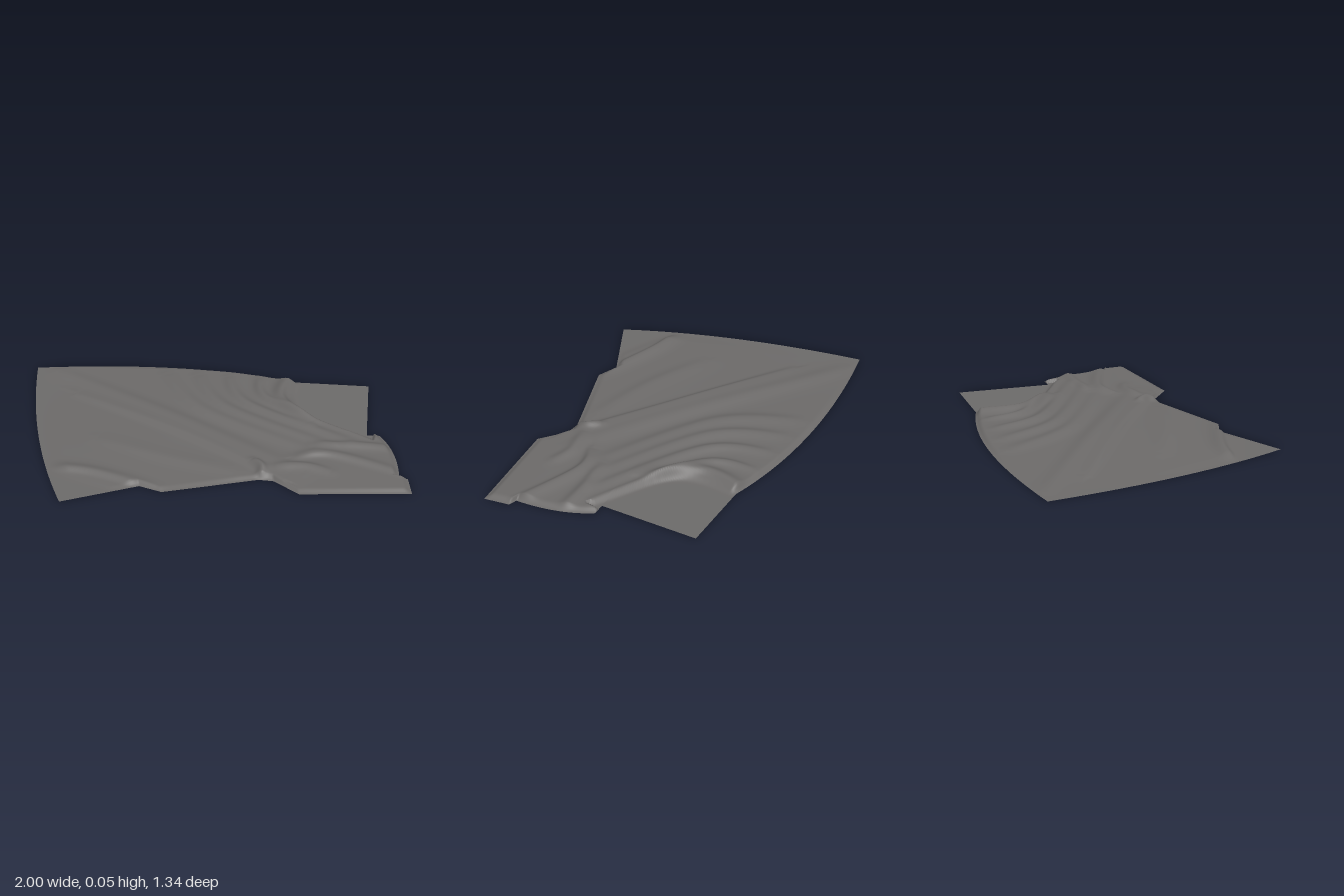
import * as THREE from 'three';

const NU = 210, NV = 150;
const { smoothstep, clamp, lerp } = THREE.MathUtils;

// Outline of the cloth as four edges, in x and z
const back = new THREE.Path().moveTo(-1, -0.45).quadraticCurveTo(-0.25, -0.7, 0.3, -0.62).lineTo(0.66, -0.67);
const rightSide = new THREE.Path().moveTo(-1, -0.45).quadraticCurveTo(-0.82, 0.2, -0.51, 0.67);
const leftSide = new THREE.Path().moveTo(0.66, -0.67).lineTo(0.725, -0.21).lineTo(0.785, -0.22)
  .quadraticCurveTo(0.89, -0.1, 0.925, 0.11).lineTo(0.965, 0.115).lineTo(1, 0.23);
const front = new THREE.Path().moveTo(-0.51, 0.67).lineTo(-0.2, 0.465).lineTo(-0.09, 0.487)
  .lineTo(0.31, 0.285).lineTo(0.38, 0.28).lineTo(0.51, 0.355).lineTo(1, 0.23);

// Crest line through a few points given as x, z pairs
function crest(...xz) {
  const points = [];
  for (let i = 0; i < xz.length; i += 2) points.push(new THREE.Vector2(xz[i], xz[i + 1]));
  return new THREE.SplineCurve(points).getPoints(24);
}

const fold = (height, behind, ahead, line) => ({ height, behind, ahead, line });

const folds = [
  // Long diagonal creases
  fold(0.018, 0.07, 0.022, crest(-0.72, -0.24, -0.1, 0.02, 0.42, 0.27)),
  fold(0.015, 0.05, 0.05, crest(-0.88, -0.44, -0.2, -0.13, 0.5, 0.2)),
  // Fold beside the flat back corner
  fold(0.026, 0.025, 0.04, crest(0.27, -0.66, 0.27, -0.42, 0.46, -0.23)),
  // Folds running to the left end
  fold(0.02, 0.04, 0.022, crest(0.44, 0.09, 0.6, 0.03, 0.97, 0.11)),
  fold(0.018, 0.03, 0.03, crest(0.5, -0.03, 0.7, -0.08, 0.87, -0.1)),
  // Lip beside the flat front corner
  fold(0.02, 0.045, 0.018, crest(-0.68, 0.43, -0.45, 0.42, -0.12, 0.48)),
  fold(0.009, 0.06, 0.04, crest(-0.5, 0.14, -0.15, 0.225, 0.2, 0.26)),
  // Pinched creases at the front notch
  fold(0.022, 0.022, 0.022, crest(0.26, 0.17, 0.31, 0.22, 0.32, 0.3)),
  fold(0.016, 0.03, 0.03, crest(0.36, 0.2, 0.5, 0.15, 0.62, 0.17)),
];
// Fan of folds sweeping from the back edge to the left end
for (let k = 0; k < 4; k++) {
  const t = k / 3;
  folds.push(fold(lerp(0.016, 0.02, t), lerp(0.05, 0.03, t), lerp(0.04, 0.025, t),
    crest(lerp(-0.34, 0.12, t), lerp(-0.52, -0.58, t), lerp(-0.08, 0.23, t), lerp(-0.22, -0.37, t),
      lerp(0.5, 0.74, t), lerp(0.01, -0.17, t))));
}

// Border between the raised cloth and the flat back corner
const flapBorder = crest(0.3, -0.7, 0.31, -0.45, 0.42, -0.29, 0.73, -0.165);

// Signed distance to a line (positive on the front side) and position along it
function nearest(line, x, z) {
  let best = Infinity, side = 1, along = 0;
  for (let i = 1; i < line.length; i++) {
    const a = line[i - 1], dx = line[i].x - a.x, dz = line[i].y - a.y;
    const px = x - a.x, pz = z - a.y;
    const t = clamp((px * dx + pz * dz) / (dx * dx + dz * dz), 0, 1);
    const d = Math.hypot(px - t * dx, pz - t * dz);
    if (d < best) {
      best = d;
      side = dx * pz - dz * px >= 0 ? 1 : -1;
      along = (i - 1 + t) / (line.length - 1);
    }
  }
  return { d: best * side, along };
}

function heightAt(x, z, u, v) {
  // Gentle swell rising from the right edge towards the middle
  let y = 0.016 * smoothstep(x + 0.25 * z, -0.95, -0.1) * (1 - 0.6 * smoothstep(z, 0.1, 0.55));
  for (const f of folds) {
    const { d, along } = nearest(f.line, x, z);
    const w = d > 0 ? f.ahead : f.behind;
    y += f.height * Math.pow(Math.sin(Math.PI * (0.06 + 0.88 * along)), 0.7) * Math.exp(-(d * d) / (w * w));
  }
  // Flat back corner
  if (x > 0.2 && x < 0.76 && z < -0.1) y *= smoothstep(nearest(flapBorder, x, z).d, -0.03, 0.012);
  // Flat front corner
  y *= 1 - smoothstep(z - 0.25 * (x + 0.5), 0.44, 0.5) * (1 - smoothstep(x, -0.3, -0.15));
  // Hem rolled down to the ground
  const hem = Math.min(smoothstep(v, 0, 0.025), smoothstep(1 - v, 0, 0.03),
    smoothstep(u, 0, 0.06), smoothstep(1 - u, 0, 0.022));
  return Math.min(y, 0.055) * hem;
}

// Sheet blended between its four edges
function clothGeometry() {
  const A = back.getPoint(0), B = back.getPoint(1), C = front.getPoint(1), D = front.getPoint(0);
  const positions = [], index = [];
  for (let j = 0; j <= NV; j++) {
    const v = j / NV, r = rightSide.getPoint(v), l = leftSide.getPoint(v);
    for (let i = 0; i <= NU; i++) {
      const u = i / NU, b = back.getPoint(u), f = front.getPoint(u);
      const blend = (k) => (1 - v) * b[k] + v * f[k] + (1 - u) * r[k] + u * l[k]
        - ((1 - u) * (1 - v) * A[k] + u * (1 - v) * B[k] + u * v * C[k] + (1 - u) * v * D[k]);
      const x = blend('x'), z = blend('y');
      positions.push(x, heightAt(x, z, u, v), z);
      if (i < NU && j < NV) {
        const a = j * (NU + 1) + i, c = a + NU + 1;
        index.push(a, c, a + 1, a + 1, c, c + 1);
      }
    }
  }
  const geometry = new THREE.BufferGeometry();
  geometry.setAttribute('position', new THREE.Float32BufferAttribute(positions, 3));
  geometry.setIndex(index);
  geometry.computeVertexNormals();
  return geometry;
}

export function createModel() {
  const group = new THREE.Group();
  group.name = 'crumpledCloth';
  const fabric = new THREE.MeshStandardMaterial({ color: 0x6c6a69, side: THREE.DoubleSide });
  fabric.name = 'greyFabric';
  const cloth = new THREE.Mesh(clothGeometry(), fabric);
  cloth.name = 'clothSheet';
  group.add(cloth);
  return group;
}
